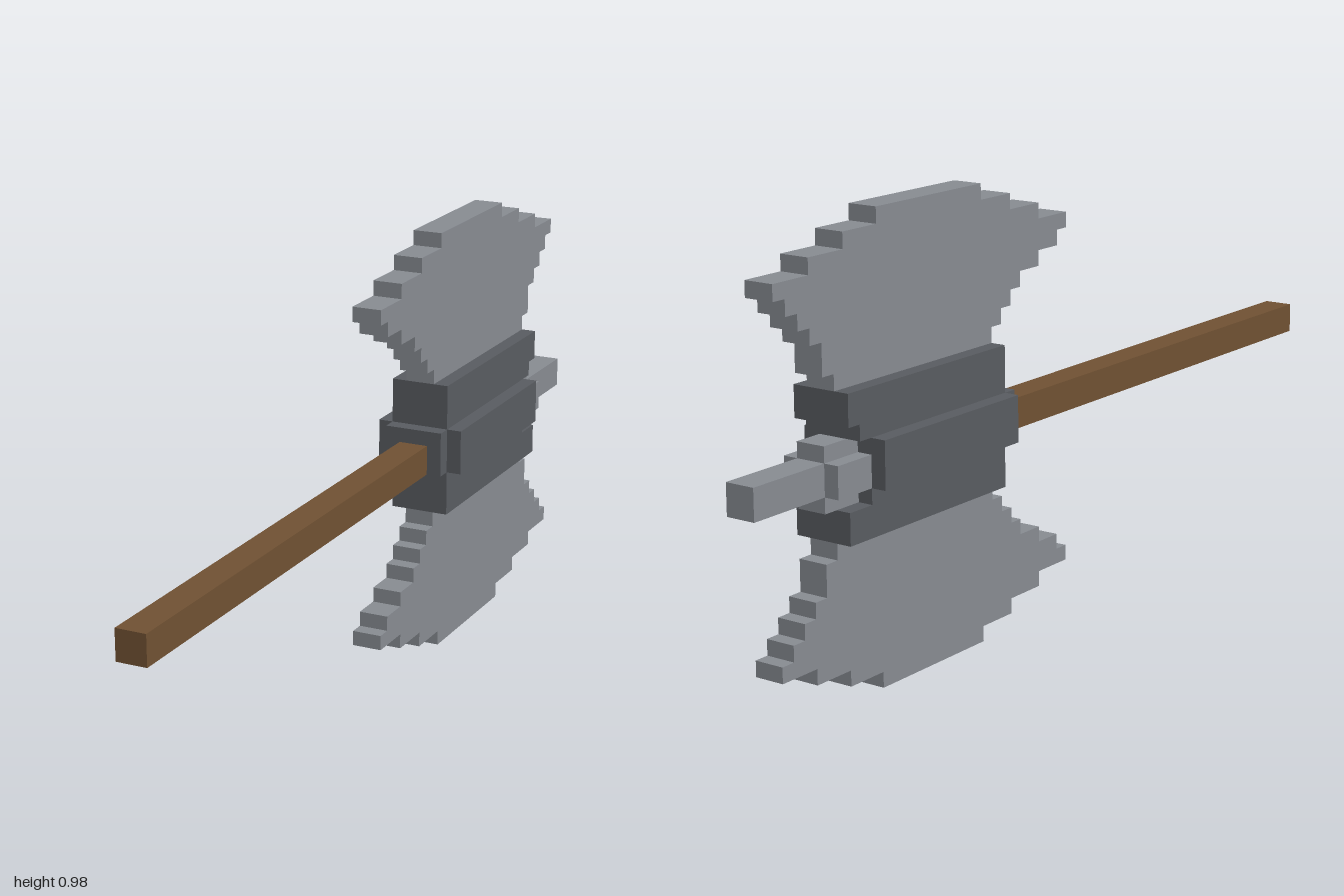
import * as THREE from 'three';

const U = 2 / 59; // one block; everything sits on this grid
const ROWS = 29;  // total height in blocks

// Materials
const steel = new THREE.MeshStandardMaterial({ color: 0x868a90 });
steel.name = 'steel';
const iron = new THREE.MeshStandardMaterial({ color: 0x585b60 });
iron.name = 'darkIron';
const wood = new THREE.MeshStandardMaterial({ color: 0x6f5032 });
wood.name = 'wood';

// Box in blocks: half width, bottom/top rows, distance from the handle end
function block(name, material, half, y0, y1, k0, k1) {
  const geometry = new THREE.BoxGeometry(2 * half * U, (y1 - y0) * U, (k1 - k0) * U);
  const mesh = new THREE.Mesh(geometry, material);
  mesh.name = name;
  mesh.position.set(0, (y0 + y1) / 2 * U, 1 - (k0 + k1) / 2 * U);
  return mesh;
}

// Side outline of [k, row] points, extruded across x
function slab(name, material, half, outline) {
  const shape = new THREE.Shape(outline.map(([k, y]) => new THREE.Vector2(1 - k * U, y * U)));
  const geometry = new THREE.ExtrudeGeometry(shape, { depth: 2 * half * U, bevelEnabled: false });
  geometry.translate(0, 0, -half * U);
  geometry.rotateY(-Math.PI / 2);
  const mesh = new THREE.Mesh(geometry, material);
  mesh.name = name;
  return mesh;
}

// Front and back limits of each blade row, from the collar to the cutting edge
const bladeRows = [
  [37, 52], [36, 53], [35, 53], [34, 54], [32, 55],
  [30, 56], [29, 57], [32, 54], [35, 51], [38, 48],
];

function bladeOutline(flip) {
  const front = [], back = [];
  bladeRows.forEach(([a, b], i) => {
    for (const row of [19 + i, 20 + i]) {
      const y = flip ? ROWS - row : row;
      front.push([a, y]);
      back.push([b, y]);
    }
  });
  return [...front, ...back.reverse()];
}

export function createModel() {
  const model = new THREE.Group();
  model.name = 'doubleAxe';

  // Handle
  model.add(block('handle', wood, 1, 13, 15, 0, 36));

  // Stepped twin blades
  model.add(slab('upperBlade', steel, 1, bladeOutline(false)));
  model.add(slab('lowerBlade', steel, 1, bladeOutline(true)));

  // Collar, notched at the back around the spike
  model.add(slab('collar', iron, 2, [
    [37, 10], [52, 10], [52, 12], [50, 12], [50, 16],
    [51, 16], [51, 17], [52, 17], [52, 19], [37, 19],
  ]));
  model.add(block('collarFront', iron, 2, 13, 16, 36, 37));

  // Raised plates on both cheeks of the collar
  for (const side of [-1, 1]) {
    const plate = block(side > 0 ? 'leftPlate' : 'rightPlate', iron, 0.5, 13, 16, 37, 50);
    plate.position.x = side * 2.5 * U;
    model.add(plate);
  }

  // Back spike on a cross-shaped base
  model.add(block('spikeBaseTall', steel, 1, 12, 16, 50, 53));
  model.add(block('spikeBaseWide', steel, 2, 13, 15, 50, 53));
  model.add(block('spike', steel, 1, 13, 15, 53, 59));

  return model;
}
